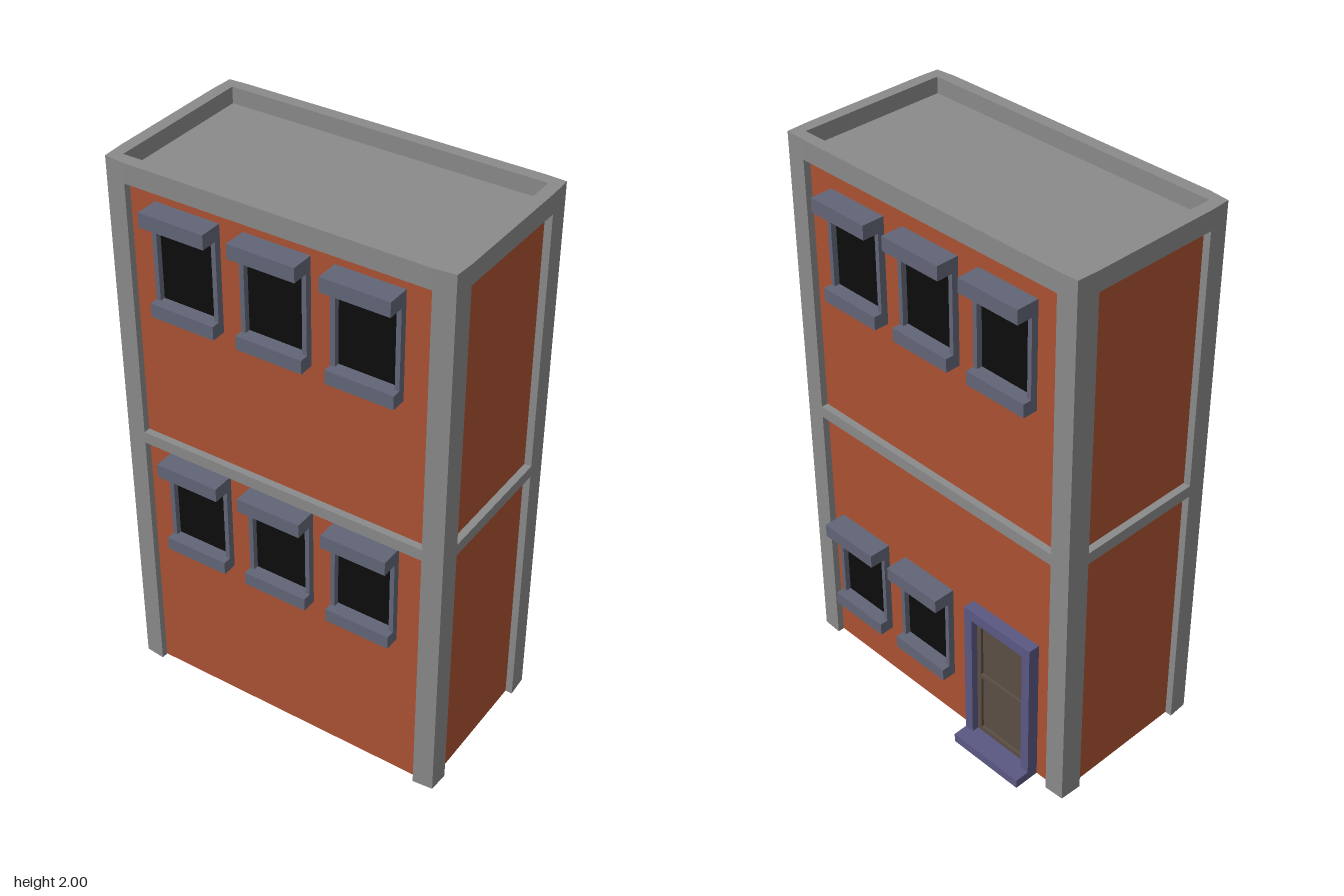
import * as THREE from 'three';

const mat = (color, side = THREE.FrontSide) =>
  new THREE.MeshStandardMaterial({ color, side, flatShading: true });

export function createModel() {
  const model = new THREE.Group();
  const concrete = mat(0x8a8a8a, THREE.DoubleSide);
  const brick = mat(0xab5233, THREE.DoubleSide);
  const trim = mat(0x626577);
  const glass = mat(0x0c0c0c);
  const doorTrim = mat(0x5b5883);
  const wood = mat(0x5a4e44);

  // Plan dimensions
  const XP = 0.53, XO = 0.606, XB = 0.602;      // panel edge, outer side, corner
  const ZF = 0.32, ZB = -0.306;                 // outer front and back
  const ZPF = 0.24, ZPB = -0.222;               // side panel edges
  const D = 0.025;                              // panel recess
  const H = 2, BEAM = 1.931;

  const add = (parent, name, geometry, material) => {
    const m = new THREE.Mesh(geometry, material);
    m.name = name;
    parent.add(m);
    return m;
  };

  // Box given by its limits
  const box = (parent, name, material, x0, x1, y0, y1, z0, z1) => {
    const m = add(parent, name, new THREE.BoxGeometry(x1 - x0, y1 - y0, z1 - z0), material);
    m.position.set((x0 + x1) / 2, (y0 + y1) / 2, (z0 + z1) / 2);
    return m;
  };

  // Upright open sheet following a plan path of [x, z] points
  const sheet = (name, material, path, y0, y1) => {
    const pos = [];
    for (let i = 0; i < path.length - 1; i++) {
      const [ax, az] = path[i], [bx, bz] = path[i + 1];
      pos.push(ax, y0, az, bx, y0, bz, bx, y1, bz, ax, y0, az, bx, y1, bz, ax, y1, az);
    }
    const g = new THREE.BufferGeometry();
    g.setAttribute('position', new THREE.Float32BufferAttribute(pos, 3));
    g.computeVertexNormals();
    return add(model, name, g, material);
  };

  // Hollow corner columns, open at the foot; the path runs counter-clockwise from above
  for (const s of [1, -1]) {
    for (const [zo, zc, zp, d] of [[ZF, 0.313, ZPF, D], [ZB, -0.303, ZPB, -D]]) {
      const path = [[s * XP, zo - d], [s * XP, zo], [s * XB, zc], [s * XO, zp], [s * (XO - D), zp]];
      if (s * d < 0) path.reverse();
      sheet('cornerColumn', concrete, path, 0, BEAM);
    }
  }

  // Recessed brick walls
  sheet('frontWall', brick, [[-XP, ZF - D], [XP, ZF - D]], 0, BEAM);
  sheet('backWall', brick, [[XP, ZB + D], [-XP, ZB + D]], 0, BEAM);
  sheet('leftWall', brick, [[XO - D, ZPF], [XO - D, ZPB]], 0, BEAM);
  sheet('rightWall', brick, [[D - XO, ZPB], [D - XO, ZPF]], 0, BEAM);

  // Floor beams between the columns
  const F0 = 0.974, F1 = 1.016;
  box(model, 'frontBeam', concrete, -XP, XP, F0, F1, ZF - D, ZF);
  box(model, 'backBeam', concrete, -XP, XP, F0, F1, ZB, ZB + D);
  box(model, 'leftBeam', concrete, XO - D, XO, F0, F1, ZPB, ZPF);
  box(model, 'rightBeam', concrete, -XO, D - XO, F0, F1, ZPB, ZPF);

  // Parapet ring and sunken roof (shape y is -z)
  const ring = new THREE.Shape([
    [-XP, -ZF], [XP, -ZF], [XB, -0.313], [XO, -ZPF], [XO, -ZPB], [XB, 0.303],
    [XP, -ZB], [-XP, -ZB], [-XB, 0.303], [-XO, -ZPB], [-XO, -ZPF], [-XB, -0.313],
  ].map(([x, y]) => new THREE.Vector2(x, y)));
  ring.holes.push(new THREE.Path([
    [-0.563, -0.276], [-0.563, 0.264], [0.563, 0.264], [0.563, -0.276],
  ].map(([x, y]) => new THREE.Vector2(x, y))));
  const parapet = new THREE.ExtrudeGeometry(ring, { depth: H - BEAM, bevelEnabled: false });
  parapet.rotateX(-Math.PI / 2);
  add(model, 'parapet', parapet, concrete).position.y = BEAM;
  box(model, 'roof', concrete, -0.564, 0.564, BEAM + 0.002, 1.943, -0.265, 0.277);

  // Window with its sill bottom at y = 0 and the wall plane at z = 0
  const makeWindow = () => {
    const g = new THREE.Group();
    g.name = 'window';
    const w = 0.118;
    box(g, 'pane', glass, -w + 0.016, w - 0.016, 0.04, 0.33, -0.005, 0.004);
    for (const s of [-1, 1]) {
      const c = s * (w - 0.008);
      box(g, 'jamb', trim, c - 0.008, c + 0.008, 0.045, 0.328, -0.005, 0.024);
    }
    box(g, 'sill', trim, -w, w, 0, 0.048, -0.005, 0.054);
    box(g, 'lintel', trim, -w, w, 0.326, 0.376, -0.005, 0.081);
    return g;
  };
  const place = (part, x, y, back) => {
    part.position.set(x, y, back ? ZB + D : ZF - D);
    if (back) part.rotation.y = Math.PI;
    model.add(part);
  };
  for (const x of [-0.32, 0, 0.318]) {
    place(makeWindow(), x, 1.513, false);
    place(makeWindow(), x, 0.582, false);
    place(makeWindow(), x, 1.485, true);
  }
  for (const x of [0.049, 0.367]) place(makeWindow(), x, 0.19, true);

  // Back door with frame, two sunken panels and a step
  const door = new THREE.Group();
  door.name = 'door';
  const dw = 0.149, jw = 0.034, top = 0.583, iw = dw - jw;
  for (const s of [-1, 1]) {
    const c = s * (dw - jw / 2);
    box(door, 'doorJamb', doorTrim, c - jw / 2, c + jw / 2, 0, top, -0.005, 0.043);
    const r = s * (iw - 0.009);
    box(door, 'doorStile', wood, r - 0.009, r + 0.009, 0.034, top - 0.04, 0, 0.018);
  }
  box(door, 'doorHead', doorTrim, -iw, iw, top - 0.04, top, -0.005, 0.043);
  box(door, 'doorStep', doorTrim, -dw, dw, 0, 0.034, -0.005, 0.096);
  box(door, 'doorLeaf', wood, -iw, iw, 0.034, top - 0.04, -0.005, 0.008);
  for (const y of [0.043, 0.29, top - 0.049])
    box(door, 'doorRail', wood, -iw + 0.018, iw - 0.018, y - 0.009, y + 0.009, 0, 0.018);
  place(door, -0.315, 0, true);

  return model;
}
